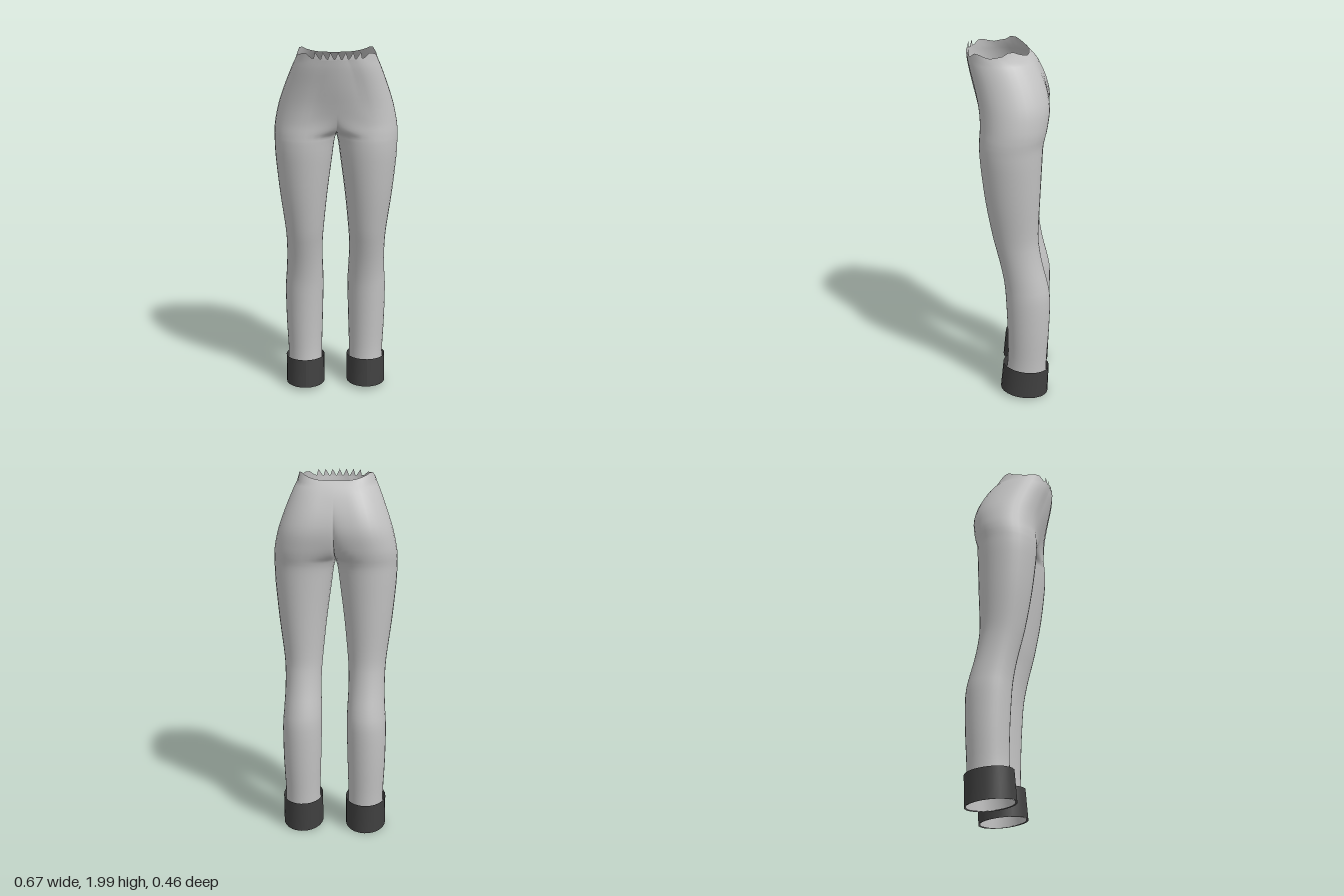
import * as THREE from 'three';
import { mergeVertices } from 'three/addons/utils/BufferGeometryUtils.js';

const fabric = new THREE.MeshStandardMaterial({ color: 0xc2c2c2, side: THREE.DoubleSide });
fabric.name = 'light grey fabric';
const band = new THREE.MeshStandardMaterial({ color: 0x404040, side: THREE.DoubleSide });
band.name = 'dark grey cuff';

// Leg sections: y, inner x, outer x, front z, back z
const LEG = [
  [0.02, 0.074, 0.282, 0.035, -0.217],
  [0.2, 0.08, 0.276, 0.006, -0.216],
  [0.4, 0.075, 0.285, 0.006, -0.227],
  [0.6, 0.07, 0.288, 0.015, -0.231],
  [0.7, 0.071, 0.282, 0.024, -0.216],
  [0.8, 0.075, 0.277, 0.042, -0.19],
  [0.9, 0.075, 0.277, 0.066, -0.17],
  [1.0, 0.068, 0.284, 0.09, -0.161],
  [1.2, 0.048, 0.31, 0.126, -0.168],
  [1.4, 0.022, 0.33, 0.15, -0.176],
  [1.49, 0.01, 0.334, 0.155, -0.18],
].map(([y, i, o, f, b]) => [y, i, o, (i + o) / 2, f, b, (f + b) / 2, (f + b) / 2]);

// Hip sections: y, inner x, outer x, middle x, front z, back z, front z and back z on the centre line
const HIPS = [
  [1.528, 0, 0.335, 0.168, 0.154, -0.186, -0.016, -0.016],
  [1.56, 0, 0.334, 0.165, 0.152, -0.194, 0.095, -0.1],
  [1.61, 0, 0.328, 0.155, 0.15, -0.204, 0.142, -0.155],
  [1.7, 0, 0.308, 0.135, 0.158, -0.212, 0.17, -0.19],
  [1.8, 0, 0.274, 0.11, 0.18, -0.19, 0.198, -0.186],
  [1.9, 0, 0.235, 0.08, 0.208, -0.145, 0.22, -0.148],
  [1.96, 0, 0.207, 0.05, 0.222, -0.098, 0.228, -0.1],
];

const SUB = 3, INNER = 7, OUTER = 16;

// Height of the waist edge from back to front
const RIM = [[-0.11, 1.95], [-0.01, 2], [0.03, 1.975], [0.1, 1.962], [0.17, 1.985], [0.2, 1.955], [0.3, 1.955]];
function rimHeight(z) {
  const k = Math.max(1, RIM.findIndex((p) => p[0] >= z));
  const [a, b] = [RIM[k - 1], RIM[k]];
  return THREE.MathUtils.mapLinear(z, a[0], b[0], a[1], b[1]);
}

// One half outline: centre front, round the outside, to centre back
function outline([y, inner, outer, cx, zf, zb, zfc, zbc]) {
  const pts = [];
  const inset = (s, z, zc) => {
    const t = Math.sin((s * Math.PI) / 2), c = Math.cos((s * Math.PI) / 2);
    const bulge = Math.abs(zc) > Math.abs(z) && zc * z > 0;
    const k = bulge ? 1 - t * (2 - t) : c;
    pts.push([cx - (cx - inner) * t, y, zc + (z - zc) * k]);
  };
  for (let i = INNER; i > 0; i--) inset(i / INNER, zf, zfc);
  for (let i = 0; i <= OUTER; i++) {
    const a = (i / OUTER) * Math.PI;
    pts.push([cx + (outer - cx) * Math.sin(a), y, (zf + zb) / 2 + ((zf - zb) / 2) * Math.cos(a)]);
  }
  for (let i = 1; i <= INNER; i++) inset(i / INNER, zb, zbc);
  return pts;
}

// Both mirrored halves lofted into one smooth skin
function trousersGeometry() {
  const rows = [...LEG, ...HIPS];
  const curve = new THREE.CubicInterpolant(rows.map((_, i) => i), rows.flat(), 8, new Float32Array(8));
  const loops = [];
  const count = (rows.length - 1) * SUB;
  for (let r = 0; r <= count; r++) {
    const v = Array.from(curve.evaluate(r / SUB));
    v[1] = r / SUB >= LEG.length ? 0 : Math.max(0, v[1]);
    if (r / SUB < LEG.length) v[6] = v[7] = (v[4] + v[5]) / 2;
    const pts = outline(v);
    if (r === 0) pts.forEach((p) => { p[1] += 0.09 * (p[2] + 0.09); });
    if (r === count) pts.forEach((p) => { p[1] = rimHeight(p[2]); });
    loops.push(pts);
  }
  const pos = [], index = [], n = loops[0].length;
  for (const side of [1, -1]) {
    const base = pos.length / 3;
    loops.forEach((loop) => loop.forEach(([x, y, z]) => pos.push(x < 1e-4 ? 0 : side * x, y, z)));
    for (let r = 0; r < count; r++) for (let c = 0; c < n - 1; c++) {
      const a = base + r * n + c, b = a + 1, d = a + n, e = d + 1;
      if (side > 0) index.push(a, b, d, b, e, d);
      else index.push(a, d, b, b, d, e);
    }
  }
  return finish(pos, index);
}

function finish(pos, index) {
  let g = new THREE.BufferGeometry();
  g.setAttribute('position', new THREE.Float32BufferAttribute(pos, 3));
  g.setIndex(index);
  g = mergeVertices(g, 1e-4);
  g.computeVertexNormals();
  return g;
}

// Ragged points along the front of the waist
function teethGeometry() {
  const pos = [], index = [];
  const front = (x) => {
    const a = Math.abs(x);
    if (a < 0.05) return 0.222 + 0.006 * (1 - (a / 0.05) ** 2);
    return 0.062 + 0.16 * Math.sqrt(1 - ((a - 0.05) / 0.157) ** 2);
  };
  for (let i = -3; i <= 3; i++) {
    const x = i * 0.036;
    for (const [dx, y] of [[-0.018, 1.95], [0.018, 1.95], [i * 0.003, 1.99]]) pos.push(x + dx, y, front(x + dx));
    const k = (i + 3) * 3;
    index.push(k, k + 1, k + 2);
  }
  return finish(pos, index);
}

// Slightly tilted oval band around the ankle
function cuffGeometry() {
  const g = new THREE.CylinderGeometry(1, 1, 1, 24, 1, true);
  const p = g.attributes.position;
  for (let i = 0; i < p.count; i++) {
    const top = p.getY(i) > 0;
    const z = p.getZ(i) * (top ? 0.13 : 0.135) + (top ? -0.1 : -0.09);
    p.setXYZ(i, p.getX(i) * 0.112, (top ? 0.187 : 0.018) + 0.095 * (z + 0.095), z);
  }
  g.computeVertexNormals();
  return g;
}

export function createModel() {
  const model = new THREE.Group();
  model.name = 'trousers';
  const add = (name, geometry, material, x = 0) => {
    const mesh = new THREE.Mesh(geometry, material);
    mesh.name = name;
    mesh.position.x = x;
    model.add(mesh);
  };
  add('hipsAndLegs', trousersGeometry(), fabric);
  add('raggedWaist', teethGeometry(), fabric);
  const cuff = cuffGeometry();
  add('leftCuff', cuff, band, 0.178);
  add('rightCuff', cuff, band, -0.178);
  return model;
}
